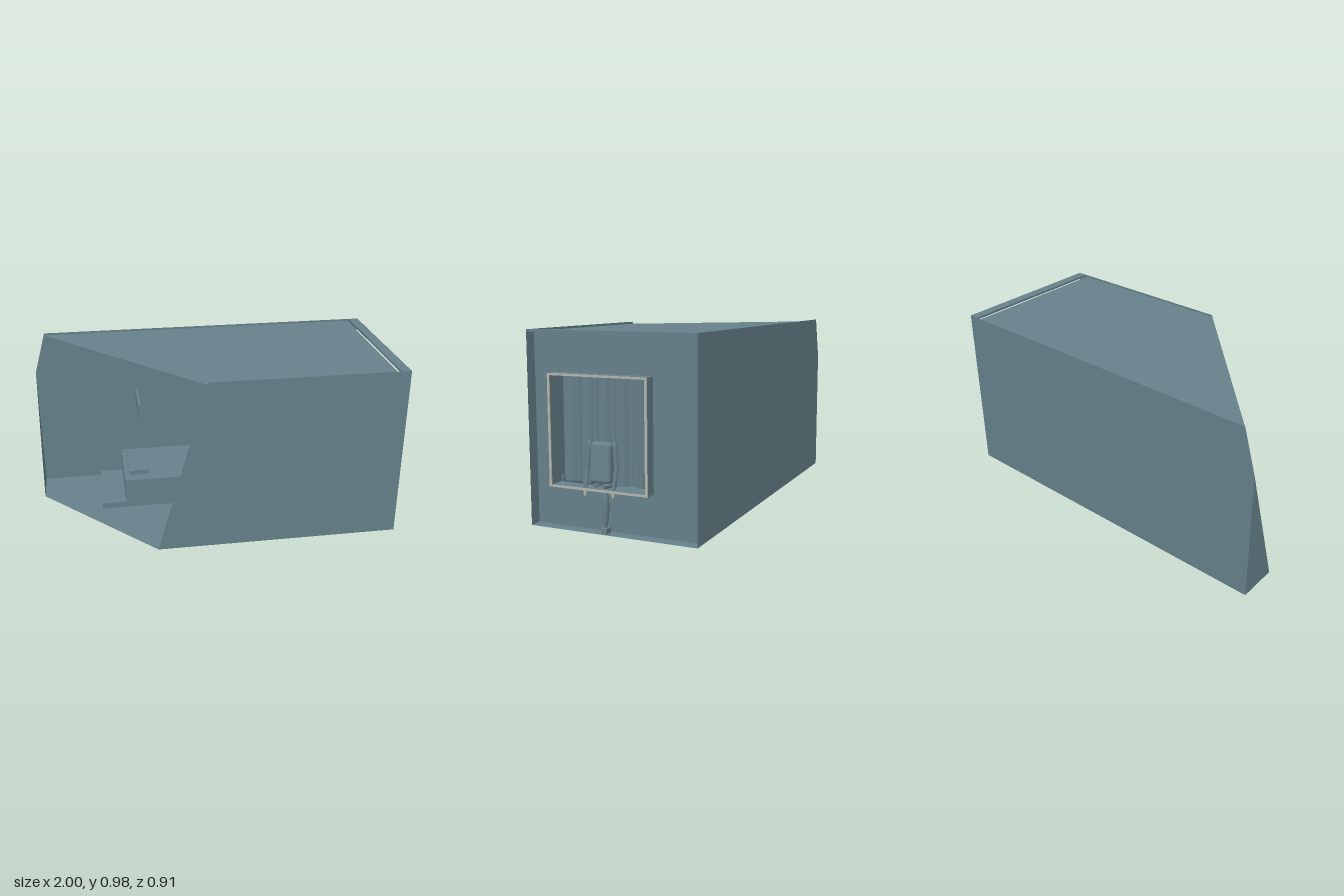
import * as THREE from 'three';
import { RoundedBoxGeometry } from 'three/addons/geometries/RoundedBoxGeometry.js';

const slate = new THREE.MeshStandardMaterial({ color: 0x66808a, side: THREE.DoubleSide });
slate.name = 'slate';
const beige = new THREE.MeshStandardMaterial({ color: 0xb4b4aa });
beige.name = 'beige';

const H = 0.98, Z = 0.455, ROOF = 0.968, WALL = 0.935;
// x of the slanted opening at a given height and depth
const cutX = (y, z) => Math.max(-1, -0.36 + 0.286 * y + (z - Z) * 0.934);

export function createModel() {
  const root = new THREE.Group();
  root.name = 'roomCutaway';

  const add = (name, geo, mat = slate, parent = root) => {
    const m = new THREE.Mesh(geo, mat);
    m.name = name;
    parent.add(m);
    return m;
  };
  // box given by its minimum and maximum corners
  const box = (name, a, b, mat, parent) => {
    const g = new THREE.BoxGeometry(b[0] - a[0], b[1] - a[1], b[2] - a[2]);
    g.translate((a[0] + b[0]) / 2, (a[1] + b[1]) / 2, (a[2] + b[2]) / 2);
    return add(name, g, mat, parent);
  };
  // flat convex panel
  const panel = (name, pts) => {
    const pos = [];
    for (let i = 1; i < pts.length - 1; i++) pos.push(...pts[0], ...pts[i], ...pts[i + 1]);
    const g = new THREE.BufferGeometry();
    g.setAttribute('position', new THREE.Float32BufferAttribute(pos, 3));
    g.computeVertexNormals();
    return add(name, g);
  };

  // room shell, cut off along a slanted plane
  panel('floor', [[1, 0, -Z], [-1, 0, -Z], [-1, 0, -0.23], [cutX(0, Z), 0, Z], [1, 0, Z]]);
  panel('frontWall', [[cutX(0, Z), 0, Z], [1, 0, Z], [1, H, Z], [cutX(H, Z), H, Z]]);
  panel('backWall', [[1, 0, -Z], [-1, 0, -Z], [-1, 0.735, -Z], [cutX(H, -Z), H, -Z], [1, H, -Z]]);
  panel('sideWall', [[-1, 0, -Z], [-1, 0, -0.23], [-1, 0.735, -Z]]);
  panel('roof', [[WALL, ROOF, -Z], [cutX(ROOF, -Z), ROOF, -Z], [cutX(ROOF, Z), ROOF, Z], [WALL, ROOF, Z]]);
  box('roofOverhang', [0.945, ROOF, -Z], [1, H, Z]);

  // end wall with the window opening
  const [z0, z1, y0, y1] = [-0.2, 0.342, 0.21, 0.772];
  const rect = (T, a, b, c, d) => {
    const s = new T();
    s.moveTo(a, c); s.lineTo(b, c); s.lineTo(b, d); s.lineTo(a, d); s.closePath();
    return s;
  };
  const ring = (outer, inset, depth, x) => {
    const [a, b, c, d] = outer;
    const s = rect(THREE.Shape, -b, -a, c, d);
    const [e, f, g, h] = inset;
    s.holes.push(rect(THREE.Path, -f, -e, g, h));
    return new THREE.ExtrudeGeometry(s, { depth, bevelEnabled: false })
      .rotateY(Math.PI / 2).translate(x, 0, 0);
  };
  const opening = [z0, z1, y0, y1];
  const t = 0.013;
  const inner = [z0 + t, z1 - t, y0 + t * 0.8, y1 - t * 0.8];
  add('endWall', ring([-Z, Z, 0, ROOF], opening, 0.01, WALL - 0.01));
  add('windowFrame', ring(opening, inner, 0.075, 0.92));
  add('windowTrim', ring(opening, inner, 0.005, 0.995), beige);

  // pleated curtain
  const curtain = new THREE.PlaneGeometry(0.493, 0.533, 72, 1).rotateY(Math.PI / 2);
  const p = curtain.attributes.position;
  for (let i = 0; i < p.count; i++) {
    const z = p.getZ(i);
    p.setX(i, 0.012 * Math.sin(z * 62) + 0.004 * Math.sin(z * 131 + 1));
  }
  curtain.translate(0.89, 0.488, 0.0705);
  curtain.computeVertexNormals();
  add('curtain', curtain);

  // seated figure on the sill
  const figure = new THREE.Group();
  figure.name = 'seatedFigure';
  root.add(figure);
  const torso = new RoundedBoxGeometry(0.05, 0.2, 0.118, 3, 0.018);
  const tp = torso.attributes.position;
  for (let i = 0; i < tp.count; i++) {
    const y = tp.getY(i);
    tp.setX(i, tp.getX(i) - y * 0.08);
    tp.setZ(i, tp.getZ(i) * (1 - Math.max(0, y - 0.03) * 0.8));
  }
  torso.translate(0.95, 0.345, 0.073);
  torso.computeVertexNormals();
  add('torso', torso, slate, figure);

  // tapered limb segment between two points
  const limb = (name, a, b, ra, rb, mat = slate) => {
    const A = new THREE.Vector3(...a), B = new THREE.Vector3(...b);
    const d = B.clone().sub(A);
    const m = add(name, new THREE.CylinderGeometry(rb, ra, d.length(), 8), mat, figure);
    m.position.copy(A).add(B).multiplyScalar(0.5);
    m.quaternion.setFromUnitVectors(new THREE.Vector3(0, 1, 0), d.normalize());
  };
  for (const s of [-1, 1]) {
    const z = o => 0.07 + s * o;
    limb('shoulder', [0.945, 0.452, z(0.065)], [0.948, 0.43, z(0.069)], 0.007, 0.013);
    limb('upperArm', [0.948, 0.43, z(0.069)], [0.955, 0.32, z(0.08)], 0.013, 0.012);
    limb('forearm', [0.955, 0.32, z(0.08)], [0.982, 0.215, z(0.077)], 0.012, 0.008);
    limb('hand', [0.982, 0.215, z(0.077)], [0.987, 0.183, z(0.077)], 0.011, 0.007, beige);
    limb('thigh', [0.94, 0.236, z(0.035)], [0.975, 0.232, z(0.02)], 0.016, 0.012);
  }
  const shin = [[0.001, 0.22], [0.011, 0.205], [0.018, 0.165], [0.018, 0.11], [0.012, 0.06], [0.007, 0.028]];
  add('hangingLeg', new THREE.LatheGeometry(shin.reverse().map(q => new THREE.Vector2(...q)), 8)
    .translate(0.972, 0, 0.042), slate, figure);
  box('foot', [0.955, 0.002, 0.025], [0.997, 0.03, 0.056], slate, figure);

  // furniture inside the room
  box('bed', [-0.51, 0, -0.445], [0.25, 0.18, -0.03]);
  box('pillow', [-0.48, 0.18, -0.38], [-0.36, 0.205, -0.1]);
  box('bedStep', [-0.65, 0, -0.445], [-0.51, 0.035, -0.03]);
  box('wallBoard', [-0.405, 0.505, -0.45], [-0.39, 0.595, -0.175]);
  box('sillBlock', [0.9, 0.222, 0.314], [0.92, 0.25, 0.324]);

  return root;
}
